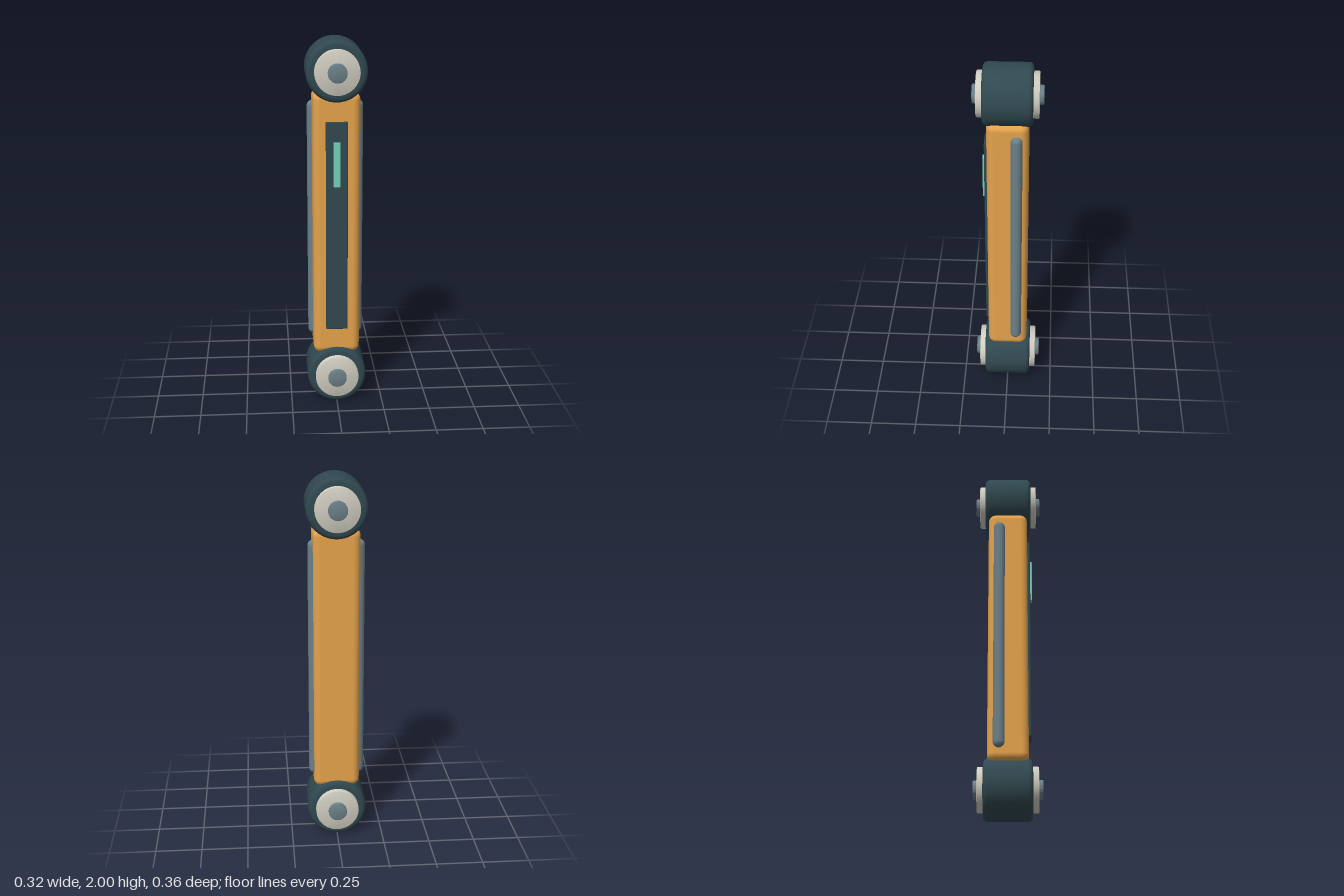
import * as THREE from 'three';
import { RoundedBoxGeometry } from 'three/addons/geometries/RoundedBoxGeometry.js';
import { toCreasedNormals } from 'three/addons/utils/BufferGeometryUtils.js';

const paint = (color) => new THREE.MeshStandardMaterial({ color });
const orange = paint(0xe5a34c);
const dark = paint(0x304850);
const steel = paint(0x6b8088);
const ivory = paint(0xcfccc0);
const teal = paint(0x72d0ba);

function add(parent, name, geometry, material, x, y, z) {
  const mesh = new THREE.Mesh(geometry, material);
  mesh.name = name;
  mesh.position.set(x, y, z);
  parent.add(mesh);
  return mesh;
}

// Closed cylinder along z with rounded rims
function roundedDrum(radius, depth, bevel, steps) {
  const h = depth / 2;
  const points = [new THREE.Vector2(0, -h)];
  for (const side of [-1, 1]) {
    for (let i = 0; i <= steps; i++) {
      const a = (side < 0 ? i / steps - 1 : i / steps) * Math.PI / 2;
      points.push(new THREE.Vector2(
        radius - bevel + bevel * Math.cos(a),
        side * (h - bevel) + bevel * Math.sin(a)));
    }
  }
  points.push(new THREE.Vector2(0, h));
  const geometry = new THREE.LatheGeometry(points, 48).rotateX(Math.PI / 2);
  return toCreasedNormals(geometry, 0.6);
}

// Pivot joint: dark housing, pale bearing caps and a through pin
function createJoint(name, y) {
  const joint = new THREE.Group();
  joint.name = name;
  joint.position.y = y;
  add(joint, 'housing', roundedDrum(0.16, 0.254, 0.024, 4), dark, 0, 0, 0);
  add(joint, 'bearingCaps', roundedDrum(0.118, 0.316, 0.005, 2), ivory, 0, 0, 0);
  add(joint, 'pin', roundedDrum(0.05, 0.36, 0.004, 2), steel, 0, 0, 0);
  return joint;
}

export function createModel() {
  const model = new THREE.Group();
  model.name = 'armLink';

  // Main beam
  add(model, 'beam', new RoundedBoxGeometry(0.25, 1.45, 0.214, 5, 0.04), orange, 0, 1.005, 0);

  // Front panel with indicator light
  add(model, 'frontPanel', new RoundedBoxGeometry(0.116, 1.15, 0.03, 2, 0.005), dark, 0, 1.005, 0.107);
  add(model, 'indicator', new RoundedBoxGeometry(0.036, 0.24, 0.02, 2, 0.003), teal, 0, 1.355, 0.123);

  // Rounded rails on both sides, set toward the back
  for (const side of [-1, 1]) {
    add(model, side > 0 ? 'leftRail' : 'rightRail',
      new THREE.CapsuleGeometry(0.031, 1.262, 8, 20), steel, side * 0.119, 1.007, -0.047);
  }

  model.add(createJoint('lowerJoint', 0.16), createJoint('upperJoint', 1.84));
  return model;
}
